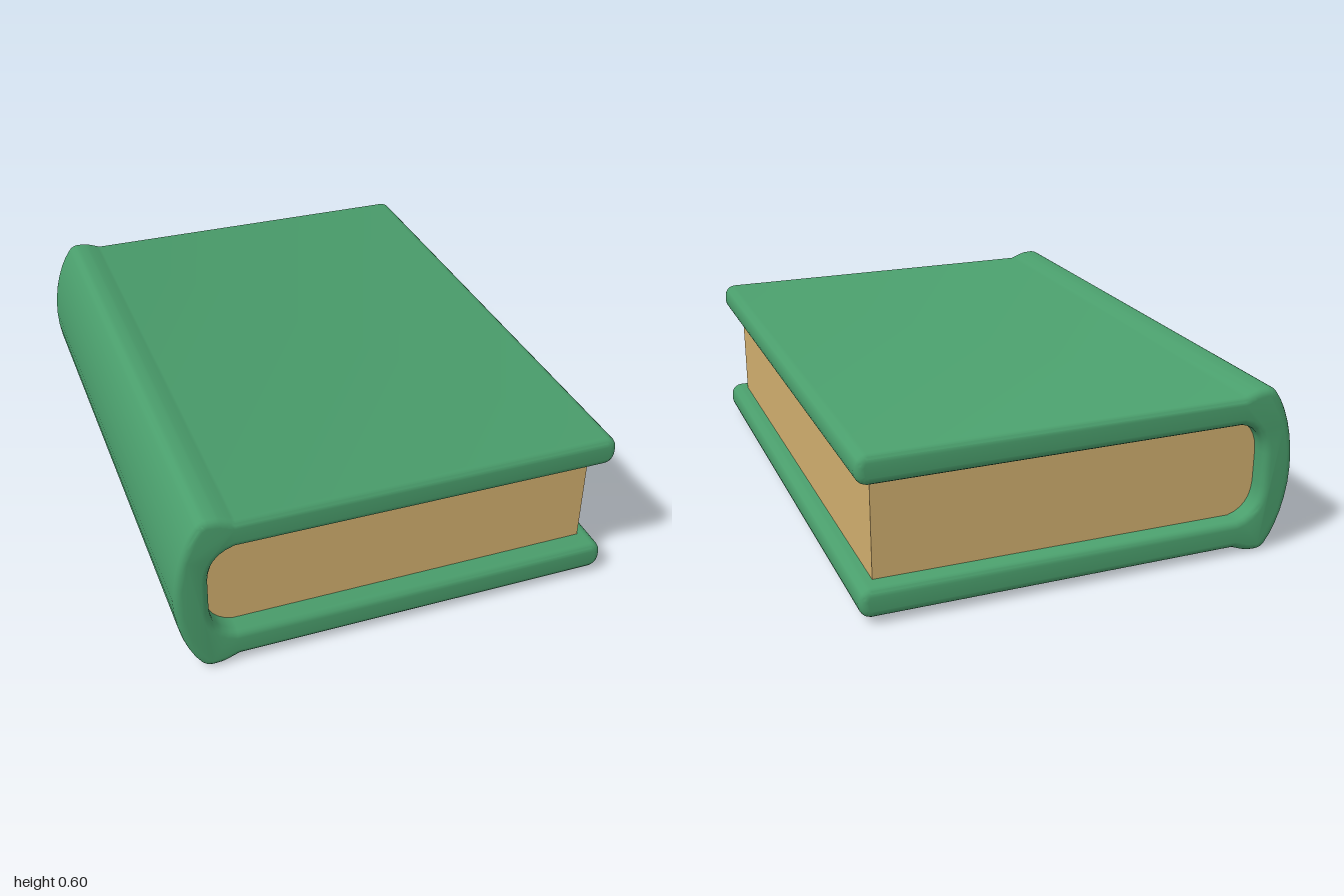
import * as THREE from 'three';
import { toCreasedNormals } from 'three/addons/utils/BufferGeometryUtils.js';

const MID = 0.3; // height of the book's plane of symmetry

// Close an upper-half outline with its mirror image below MID.
function mirroredShape(path) {
  const upper = path.getPoints(6);
  const lower = upper.slice(1, -1).reverse().map(p => new THREE.Vector2(p.x, 2 * MID - p.y));
  return new THREE.Shape([...upper, ...lower]);
}

// Extrude along z between two depths, with rounded ends kept inside the outline.
function extrude(shape, zBack, zFront, bevel, name, material) {
  const geometry = new THREE.ExtrudeGeometry(shape, {
    depth: zFront - zBack - 2 * bevel,
    bevelEnabled: bevel > 0,
    bevelSize: bevel,
    bevelThickness: bevel,
    bevelOffset: -bevel,
    bevelSegments: 4,
  });
  geometry.translate(0, 0, zBack + bevel);
  const mesh = new THREE.Mesh(toCreasedNormals(geometry, 0.75), material);
  mesh.name = name;
  return mesh;
}

export function createModel() {
  const green = new THREE.MeshStandardMaterial({ color: 0x4a9e6c });
  green.name = 'green cover';
  const cream = new THREE.MeshStandardMaterial({ color: 0xd0ae6e });
  cream.name = 'tan paper';

  // Cover: bowed spine, raised hinge, board with rounded edge, hollow inside
  const cover = new THREE.Path();
  cover.moveTo(-0.775, MID);
  cover.bezierCurveTo(-0.775, 0.42, -0.735, 0.53, -0.695, 0.58);
  cover.quadraticCurveTo(-0.68, 0.6, -0.655, 0.6);
  cover.lineTo(-0.625, 0.598);
  cover.quadraticCurveTo(-0.6, 0.592, -0.565, 0.577);
  cover.lineTo(0.73, 0.577);
  cover.quadraticCurveTo(0.77, 0.572, 0.77, 0.525);
  cover.quadraticCurveTo(0.77, 0.478, 0.73, 0.473);
  cover.lineTo(-0.57, 0.476);
  cover.quadraticCurveTo(-0.655, 0.455, -0.66, 0.36);
  cover.lineTo(-0.66, MID);

  // Page block: rounded against the spine, square at the fore edge
  const pages = new THREE.Path();
  pages.moveTo(-0.67, MID);
  pages.lineTo(-0.67, 0.36);
  pages.quadraticCurveTo(-0.66, 0.46, -0.57, 0.482);
  pages.lineTo(0.71, 0.482);
  pages.lineTo(0.71, MID);

  const book = new THREE.Group();
  book.name = 'book';
  book.add(
    extrude(mirroredShape(cover), -1, 1, 0.026, 'cover', green),
    extrude(mirroredShape(pages), -0.935, 0.925, 0, 'pages', cream),
  );
  return book;
}
